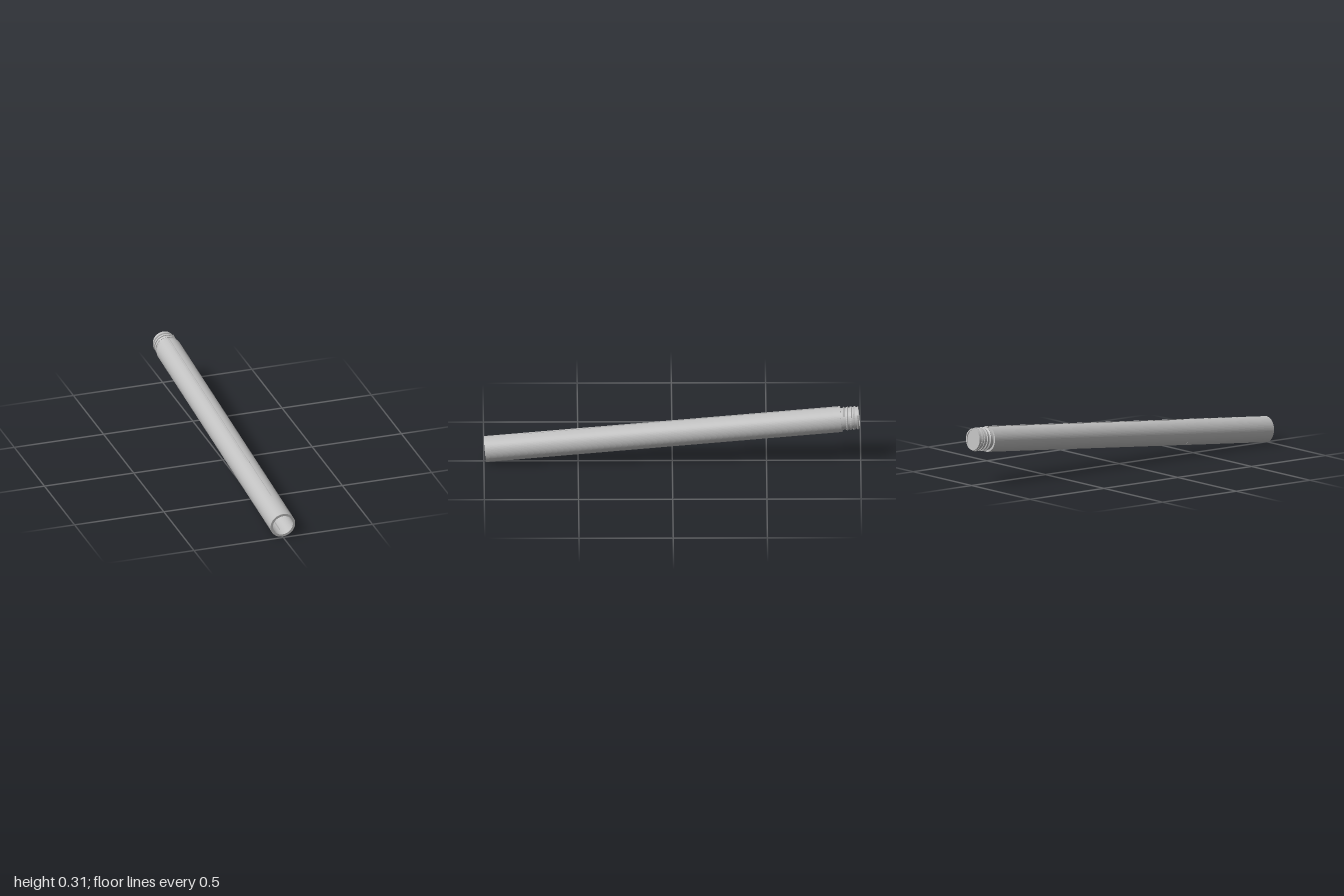
import * as THREE from 'three';

export function createModel() {
  const grey = new THREE.MeshStandardMaterial({ color: 0xc0c0c0, flatShading: true });
  grey.name = 'grey';

  const model = new THREE.Group();
  model.name = 'threadedTube';
  const tube = new THREE.Group();
  tube.name = 'tiltedTube';
  tube.rotation.x = 0.09;
  tube.position.y = 0.158;
  model.add(tube);

  const add = (name, geometry) => {
    const mesh = new THREE.Mesh(geometry, grey);
    mesh.name = name;
    tube.add(mesh);
    return mesh;
  };

  // Curved wall between two angles (0 = +x, counter-clockwise), running from z0 to z1
  const wall = (name, rOut, rIn, a0, a1, z0, z1, steps = 16) => {
    const shape = new THREE.Shape();
    const full = a1 - a0 > Math.PI * 2 - 1e-6;
    if (full) {
      shape.absarc(0, 0, rOut, 0, Math.PI * 2, false);
      const hole = new THREE.Path();
      hole.absarc(0, 0, rIn, 0, Math.PI * 2, true);
      shape.holes.push(hole);
    } else {
      shape.absarc(0, 0, rOut, a0, a1, false);
      shape.absarc(0, 0, rIn, a1, a0, true);
      shape.closePath();
    }
    const geometry = new THREE.ExtrudeGeometry(shape, { depth: z1 - z0, bevelEnabled: false, curveSegments: steps });
    geometry.translate(0, 0, z0);
    return add(name, geometry);
  };

  const R = 0.0692, BODY = 0.069, INNER = 0.056;
  const top = (x) => Math.PI / 2 - x / R;
  const low = (x) => -Math.PI / 2 + x / R;
  const TURN = Math.PI * 2;

  // Front sleeve: closed rim, then a slit below, then slits above and below
  wall('sleeveRim', R, INNER, 0, TURN, 0.95, 0.998, 32);
  wall('sleeveFront', R, INNER, low(0.004), low(-0.002) + TURN, 0.8, 0.95, 32);
  wall('sleeveLeft', R, INNER, low(0.004), top(0.001), 0.43, 0.8);
  wall('sleeveRight', R, INNER, top(-0.002), low(-0.002) + TURN, 0.43, 0.8);
  wall('sleeveBridge', 0.066, INNER, low(-0.004), low(0.006), 0.61, 0.78, 2);

  // Long body made of two halves, with a wider slot on top
  wall('bodyLeft', BODY, INNER, low(0.004), top(0), -0.9, 0.43);
  wall('bodyRight', BODY, INNER, top(-0.012), low(-0.002) + TURN, -0.9, 0.43);

  // Recessed strip lying in the top slot
  const strip = add('slotStrip', new THREE.BoxGeometry(0.016, 0.008, 1.32));
  strip.position.set(-0.007, 0.061, -0.235);

  // Neck and its slightly sunken end cap
  wall('neck', 0.058, 0.051, 0, TURN, -0.996, -0.88, 32);
  const cap = add('endCap', new THREE.CylinderGeometry(0.052, 0.052, 0.006, 32));
  cap.rotation.x = Math.PI / 2;
  cap.position.z = -0.988;

  // Screw thread around the neck
  class Helix extends THREE.Curve {
    getPoint(t, target = new THREE.Vector3()) {
      const a = t * TURN * 4 + 0.6;
      return target.set(0.058 * Math.cos(a), 0.058 * Math.sin(a), -0.915 - 0.075 * t);
    }
  }
  add('screwThread', new THREE.TubeGeometry(new Helix(), 128, 0.0065, 4, false));

  return model;
}
